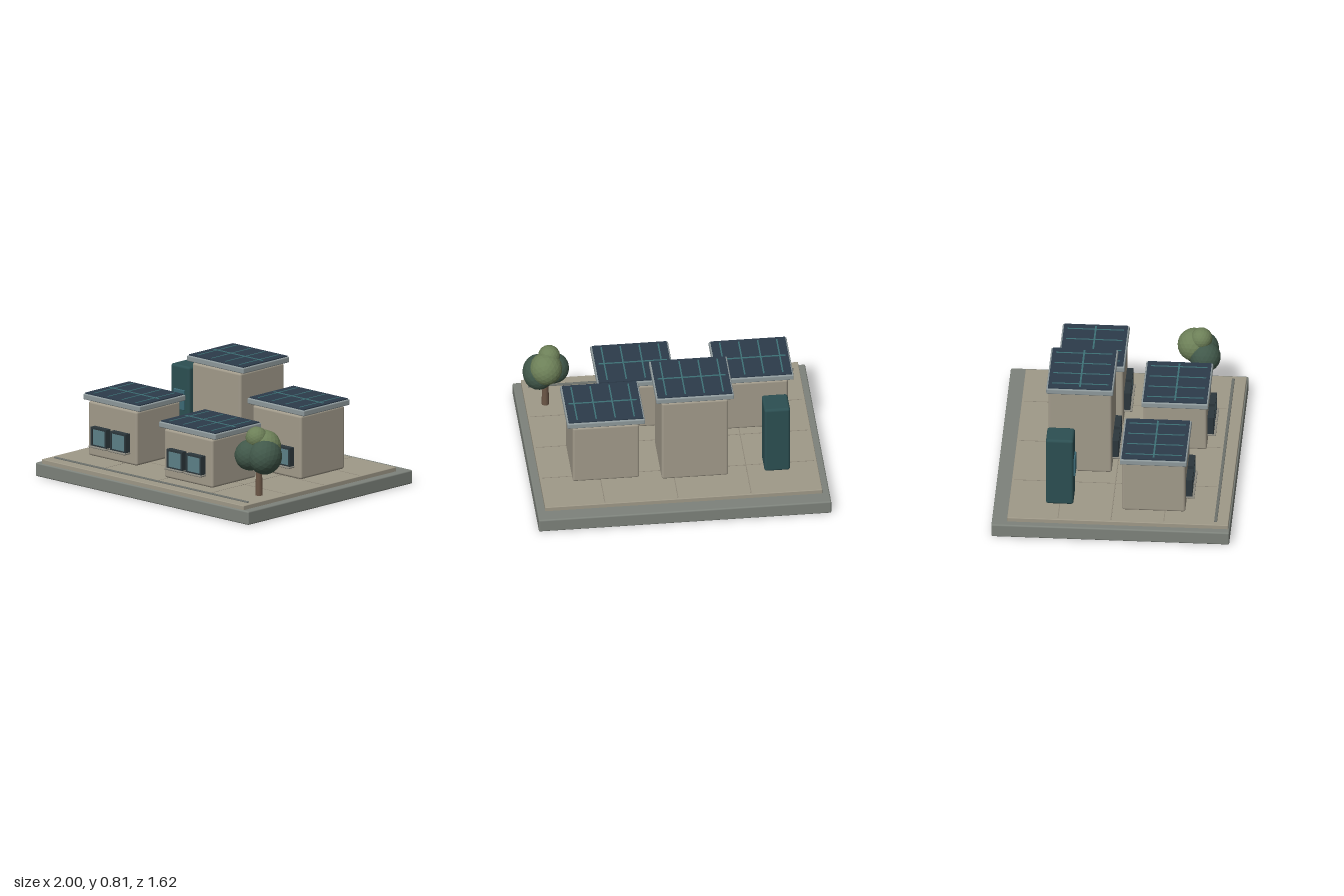
import * as THREE from 'three';
import { RoundedBoxGeometry } from 'three/addons/geometries/RoundedBoxGeometry.js';

const mat = (color, extra = {}) => new THREE.MeshStandardMaterial({ color, ...extra });
const M = {
  base: mat(0x7d827b), paving: mat(0x9f9988), joint: mat(0x8f897a), kerb: mat(0x6c706b),
  wall: mat(0xa29b8b), roof: mat(0x8e999b), panel: mat(0x2c3b4b), strip: mat(0x3d7076),
  frame: mat(0x2c373c), glass: mat(0x5d8188), sill: mat(0x8c8a80),
  cabinet: mat(0x2c4f52), door: mat(0x3c6a76), trunk: mat(0x6b5646),
  leafDark: mat(0x41584a, { flatShading: true }), leafLight: mat(0x6d8058, { flatShading: true }),
};

function add(parent, name, geometry, material, x, y, z) {
  const mesh = new THREE.Mesh(geometry, material);
  mesh.name = name;
  mesh.position.set(x, y, z);
  parent.add(mesh);
  return mesh;
}

// Box given by its min and max corners, rounded when r > 0
function box(parent, name, material, [x0, y0, z0], [x1, y1, z1], r = 0) {
  const s = [x1 - x0, y1 - y0, z1 - z0];
  const geometry = r > 0 ? new RoundedBoxGeometry(...s, 3, r) : new THREE.BoxGeometry(...s);
  return add(parent, name, geometry, material, (x0 + x1) / 2, (y0 + y1) / 2, (z0 + z1) / 2);
}

// Framed window on a wall whose outer face is at z = 0
function makeWindow(x) {
  const g = new THREE.Group();
  g.name = 'window';
  g.position.x = x;
  box(g, 'windowBack', M.frame, [-0.07, 0.205, -0.01], [0.07, 0.335, 0.03]);
  box(g, 'windowGlass', M.glass, [-0.06, 0.215, 0.03], [0.06, 0.33, 0.037]);
  for (const s of [-1, 1]) {
    const x0 = s * 0.066;
    box(g, 'frameSide', M.frame, [x0 - 0.007, 0.2, 0], [x0 + 0.007, 0.342, 0.043]);
  }
  box(g, 'frameTop', M.frame, [-0.073, 0.329, 0], [0.073, 0.342, 0.043]);
  box(g, 'frameBottom', M.frame, [-0.073, 0.205, 0], [0.073, 0.22, 0.043]);
  box(g, 'windowSill', M.sill, [-0.08, 0.2, 0], [0.08, 0.212, 0.058], 0.004);
  return g;
}

// House: centre x, centre z, height of the wall top
function makeHouse(cx, cz, top) {
  const g = new THREE.Group();
  g.name = 'house';
  g.position.set(cx, 0, cz);
  box(g, 'walls', M.wall, [-0.228, 0.125, -0.216], [0.228, top, 0.216], 0.016);
  box(g, 'roofSlab', M.roof, [-0.266, top + 0.006, -0.228], [0.266, top + 0.046, 0.228], 0.008);
  const y = top + 0.046;
  box(g, 'solarPanel', M.panel, [-0.255, y - 0.004, -0.217], [0.255, y + 0.007, 0.217]);
  for (let i = 0; i < 4; i++) {
    const x = -0.195 + i * 0.13;
    box(g, 'panelStrip', M.strip, [x - 0.005, y, -0.193], [x + 0.005, y + 0.009, 0.193]);
  }
  box(g, 'panelCrossStrip', M.strip, [-0.233, y, -0.006], [0.233, y + 0.01, 0.006]);
  for (const s of [-1, 1]) {
    const w = makeWindow(s * 0.09);
    w.position.z = 0.216;
    g.add(w);
  }
  return g;
}

function makeTree() {
  const g = new THREE.Group();
  g.name = 'tree';
  add(g, 'trunk', new THREE.CylinderGeometry(0.019, 0.026, 0.25, 12), M.trunk, 0.81, 0.25, 0.505);
  // centre, radii, material
  const crowns = [
    [[0.75, 0.4, 0.53], [0.105, 0.107, 0.106], M.leafDark],
    [[0.857, 0.4, 0.495], [0.11, 0.123, 0.123], M.leafDark],
    [[0.812, 0.455, 0.45], [0.112, 0.115, 0.112], M.leafLight],
    [[0.785, 0.523, 0.502], [0.075, 0.075, 0.075], M.leafLight],
  ];
  for (const [c, r, m] of crowns) {
    add(g, 'foliage', new THREE.IcosahedronGeometry(1, 3), m, ...c).scale.set(...r);
  }
  return g;
}

export function createModel() {
  const model = new THREE.Group();
  model.name = 'solarHousingBlock';

  // Ground
  box(model, 'base', M.base, [-1, 0, -0.81], [1, 0.095, 0.81], 0.01);
  box(model, 'paving', M.paving, [-0.95, 0.09, -0.705], [0.945, 0.125, 0.8], 0.005);
  for (const x of [-0.465, 0.035, 0.535]) {
    box(model, 'pavingJoint', M.joint, [x - 0.003, 0.12, -0.69], [x + 0.003, 0.126, 0.69]);
  }
  for (const z of [-0.36, 0, 0.36]) {
    box(model, 'pavingJoint', M.joint, [-0.93, 0.12, z - 0.003], [0.93, 0.126, z + 0.003]);
  }
  box(model, 'kerbStrip', M.kerb, [-0.91, 0.12, 0.702], [0.905, 0.133, 0.722], 0.004);

  // Houses
  const houses = [
    [-0.573, 0.282, 0.505], [-0.106, -0.25, 0.757],
    [0.498, -0.212, 0.57], [0.227, 0.375, 0.465],
  ];
  for (const h of houses) model.add(makeHouse(...h));

  // Utility cabinet
  box(model, 'cabinet', M.cabinet, [-0.759, 0.125, -0.455], [-0.582, 0.637, -0.267], 0.018);
  box(model, 'cabinetPanel', M.door, [-0.72, 0.33, -0.28], [-0.622, 0.47, -0.256], 0.004);

  model.add(makeTree());
  return model;
}
